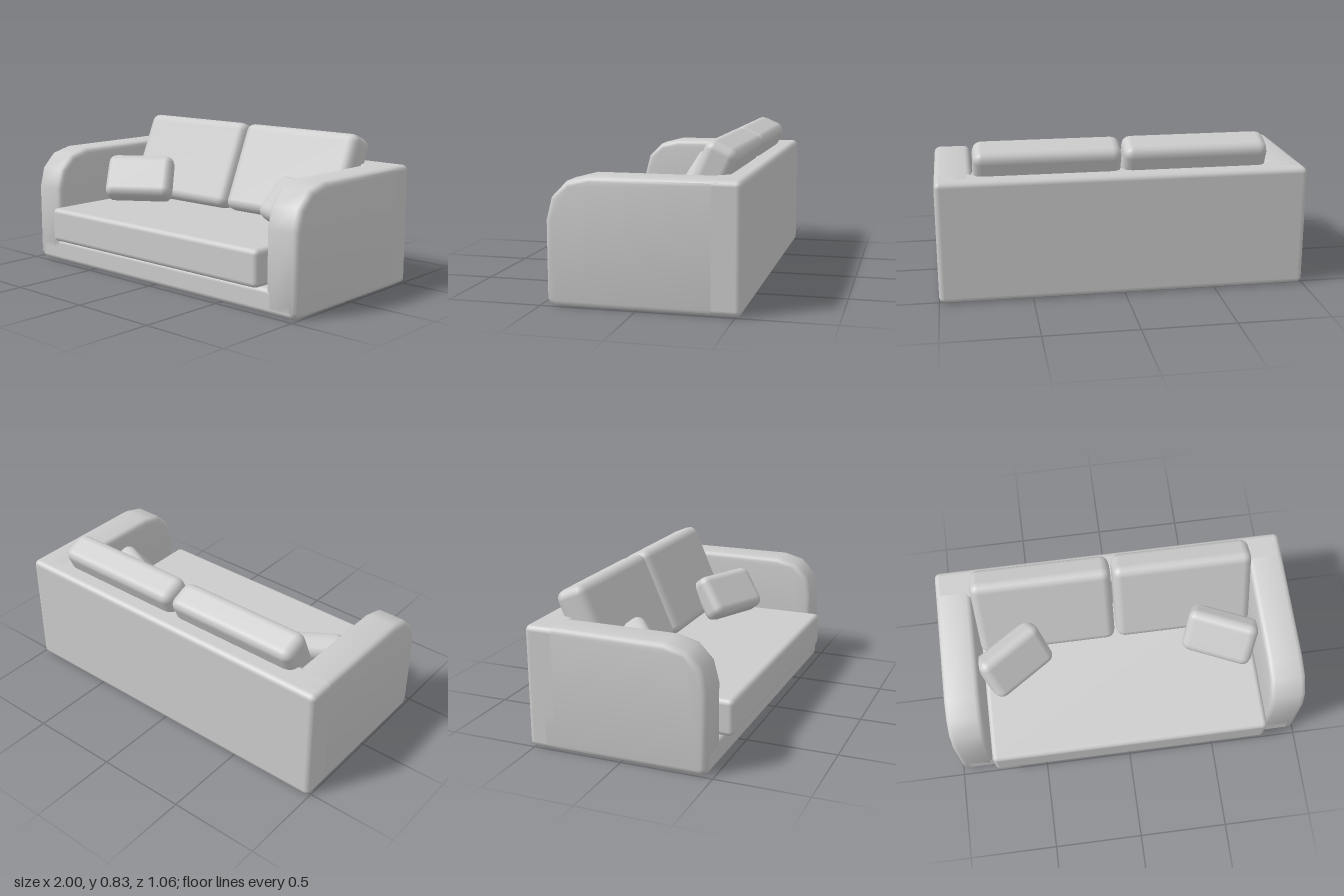
import * as THREE from 'three';
import { toCreasedNormals } from 'three/addons/utils/BufferGeometryUtils.js';
import { RoundedBoxGeometry } from 'three/addons/geometries/RoundedBoxGeometry.js';

const material = new THREE.MeshStandardMaterial({ color: 0xcccccc });

// Rounded block: size, centre, yaw about y and backward lean
function block(name, size, centre, radius, yaw = 0, lean = 0) {
  const mesh = new THREE.Mesh(new RoundedBoxGeometry(...size, 2, radius), material);
  mesh.name = name;
  mesh.position.set(...centre);
  mesh.rotation.set(-lean, yaw, 0, 'YXZ');
  return mesh;
}

// Armrest: side outline with a curved front top, extruded across x
function armGeometry() {
  const outline = [
    [-0.46, 0], [0.435, 0], [0.465, 0.03], [0.465, 0.44], [0.435, 0.555],
    [0.355, 0.637], [0.24, 0.667], [-0.46, 0.667],
  ];
  const shape = new THREE.Shape(outline.map(([z, y]) => new THREE.Vector2(-z, y)));
  const geometry = new THREE.ExtrudeGeometry(shape, {
    depth: 0.14, bevelEnabled: true, bevelSize: 0.03, bevelThickness: 0.03,
    bevelOffset: -0.03, bevelSegments: 3,
  });
  geometry.translate(0, 0, -0.07);
  geometry.rotateY(Math.PI / 2);
  return toCreasedNormals(geometry, 0.8);
}

export function createModel() {
  const model = new THREE.Group();
  model.name = 'sofa';

  // Frame
  model.add(
    block('base', [1.96, 0.13, 0.97], [0, 0.065, -0.02], 0.025),
    block('backrest', [2, 0.667, 0.18], [0, 0.3335, -0.44], 0.03),
  );
  const arm = armGeometry();
  for (const side of [-1, 1]) {
    const mesh = new THREE.Mesh(arm, material);
    mesh.name = side > 0 ? 'leftArm' : 'rightArm';
    mesh.position.x = side * 0.9;
    model.add(mesh);
  }

  // Seat and leaning back cushions
  model.add(block('seatCushion', [1.59, 0.2, 0.9], [0, 0.237, 0.08], 0.028));
  for (const side of [-1, 1]) {
    model.add(block(side > 0 ? 'leftBackCushion' : 'rightBackCushion',
      [0.79, 0.53, 0.18], [side * 0.4, 0.57, -0.291], 0.05, 0, 0.41));
  }

  // Throw pillows turned towards the middle
  model.add(
    block('rightPillow', [0.41, 0.28, 0.15], [-0.605, 0.47, -0.02], 0.05, 0.59, 0.61),
    block('leftPillow', [0.41, 0.27, 0.15], [0.597, 0.46, -0.02], 0.05, -0.42, 0.66),
  );
  return model;
}
